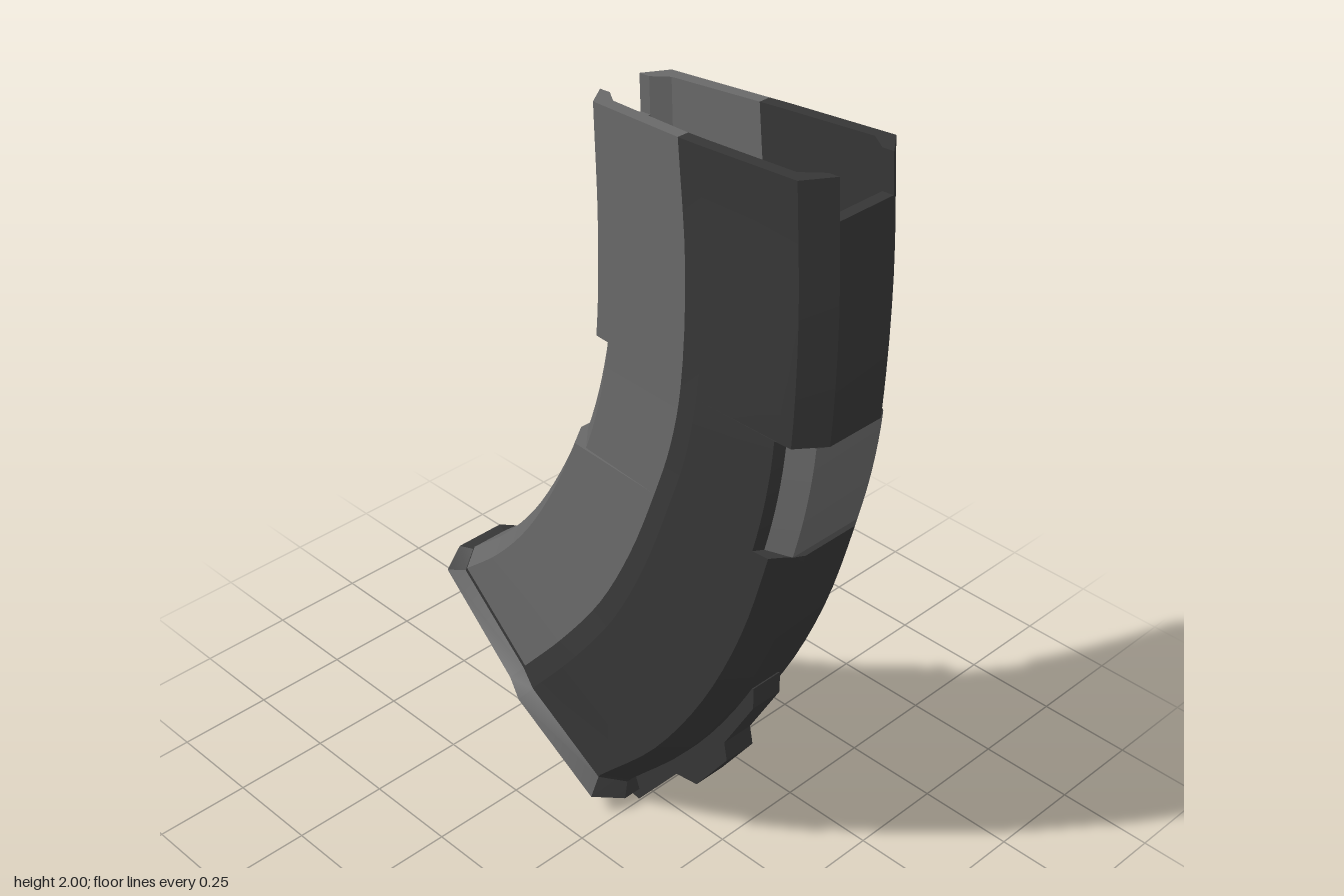
import * as THREE from 'three';
import { toCreasedNormals } from 'three/addons/utils/BufferGeometryUtils.js';

// Inner edge, colour division and outer edge of the curved body, bottom to top
const curve = (pts) => new THREE.CatmullRomCurve3(pts.map(([x, y]) => new THREE.Vector3(x, y, 0)));
const innerEdge = curve([[-.61, .49], [-.48, .60], [-.365, .73], [-.265, .89], [-.185, 1.06], [-.135, 1.22], [-.105, 1.385], [-.095, 1.66], [-.105, 1.95]]);
const division = curve([[-.34, .29], [-.185, .47], [-.045, .66], [.06, .86], [.14, 1.065], [.19, 1.22], [.22, 1.385], [.23, 1.68], [.205, 1.97]]);
const outerEdge = curve([[-.01, .08], [.20, .31], [.36, .56], [.475, .82], [.55, 1.08], [.583, 1.23], [.602, 1.385], [.608, 1.69], [.59, 2]]);

// One cross-section: seven points on the +z half, mirrored to fourteen
function ring(t, { notch = false, inset = 0, zScale = 1, shift = 0, trim = 0 } = {}) {
  const a = innerEdge.getPoint(t), m = division.getPoint(t), b = outerEdge.getPoint(t);
  const inDir = m.clone().sub(a).normalize(), outDir = b.clone().sub(m).normalize();
  const bulge = 0.015 * THREE.MathUtils.clamp((1 - t) / 0.3, 0.2, 1);
  const s = zScale * (0.94 + 0.06 * Math.min(1, t / 0.12));
  const e = inset + trim;
  const fromInner = (d, z) => a.clone().addScaledVector(inDir, d + e).setZ(z * s);
  const fromOuter = (d, z) => b.clone().addScaledVector(outDir, -d - e).setZ(z * s);
  const half = [
    notch ? fromInner(.015, .05) : fromInner(0, .058),
    notch ? fromInner(.075, .112) : fromInner(.04, .116 - inset),
    m.clone().setZ((.135 - inset) * s),
    m.clone().addScaledVector(outDir, .06).setZ((.135 + bulge - inset) * s),
    notch ? fromOuter(.095, .147) : fromOuter(.05, .145 - inset),
    notch ? fromOuter(.08, .125) : fromOuter(.025, .1125 - inset / 2),
    notch ? fromOuter(.015, .105) : fromOuter(0, .08),
  ];
  const down = new THREE.Vector3(outDir.y, -outDir.x, 0).multiplyScalar(shift);
  half.forEach((p) => p.add(down));
  return [...half, ...half.map((p) => new THREE.Vector3(p.x, p.y, -p.z)).reverse()];
}

// Collects quads and turns them into one mesh
class Surface {
  constructor() { this.pos = []; }
  tri(a, b, c) {
    const n = b.clone().sub(a).cross(c.clone().sub(a));
    if (n.length() > 1e-8) for (const p of [a, b, c]) this.pos.push(p.x, p.y, p.z);
  }
  quad(a, b, c, d) { this.tri(a, b, c); this.tri(a, c, d); }
  mesh(name, material) {
    const g = new THREE.BufferGeometry();
    g.setAttribute('position', new THREE.Float32BufferAttribute(this.pos, 3));
    const mesh = new THREE.Mesh(toCreasedNormals(g, 0.2), material);
    mesh.name = name;
    return mesh;
  }
}

export function createModel() {
  const group = new THREE.Group();
  group.name = 'curvedMagazine';
  const grey = new THREE.MeshStandardMaterial({ color: 0x686868 });
  grey.name = 'mid grey';
  const dark = new THREE.MeshStandardMaterial({ color: 0x363636 });
  dark.name = 'dark grey';

  const front = new Surface(), back = new Surface(), windowPanel = new Surface();
  const inside = { light: new Surface(), dark: new Surface() };
  const base = new Surface();
  const isLight = (i) => i < 2 || i > 10;
  const isFlat = (i) => i === 6 || i === 13;
  const next = (i) => (i + 1) % 14;
  const shell = (i) => (isLight(i) ? front : back);
  const liner = (i) => (isLight(i) ? inside.light : inside.dark);

  // Outer shell, with doubled rings where the grip notches start and end
  const lip = 0.962, rings = [];
  for (let k = 0; k <= 32; k++) {
    const t = k / 32;
    if (k === 31) rings.push({ t: lip, p: ring(lip), notch: false });
    else if (k === 16 || k === 24) {
      const pair = [false, true].map((notch) => ({ t, p: ring(t, { notch }), notch }));
      rings.push(...(k === 16 ? pair : pair.reverse()));
    } else {
      const notch = k > 16 && k < 24;
      rings.push({ t, p: ring(t, { notch }), notch });
    }
  }
  for (let k = 0; k < rings.length - 1; k++) {
    const lo = rings[k], hi = rings[k + 1];
    for (let i = 0; i < 14; i++) {
      if (lo.t >= lip && isFlat(i)) continue; // open slots at the mouth
      const panel = lo.notch && hi.notch && i >= 5 && i <= 7;
      (panel ? windowPanel : shell(i)).quad(lo.p[i], lo.p[next(i)], hi.p[next(i)], hi.p[i]);
    }
  }

  // Hollow mouth: inner walls, floor, rim and slots
  const wall = 0.03;
  const inner = [0.82, 0.87, 0.92, lip, 1].map((t) => ring(t, { inset: wall }));
  for (let k = 0; k < 4; k++) for (let i = 0; i < 14; i++) {
    if (k === 3 && isFlat(i)) continue;
    liner(i).quad(inner[k][next(i)], inner[k][i], inner[k + 1][i], inner[k + 1][next(i)]);
  }
  for (let k = 0; k < 6; k++) liner(k).quad(inner[0][k], inner[0][k + 1], inner[0][12 - k], inner[0][13 - k]);
  const outTop = ring(1), outLip = ring(lip), inTop = inner[4], inLip = inner[3];
  for (let i = 0; i < 14; i++) {
    const [o, n] = isFlat(i) ? [outLip, inLip] : [outTop, inTop];
    shell(i).quad(o[i], o[next(i)], n[next(i)], n[i]);
  }
  for (const i of [6, 13]) shell(i).quad(outLip[i], inLip[i], inTop[i], outTop[i]);
  for (const i of [7, 0]) shell(i === 7 ? 7 : 13).quad(outTop[i], inTop[i], inLip[i], outLip[i]);

  // Floor plate with a bevelled edge
  const top = ring(0), mid = ring(0, { shift: -0.012 }), low = ring(0, { shift: -0.035, zScale: 0.72, trim: 0.03 });
  // keep the plate below the body whatever the edge direction
  if (low[2].y > top[2].y) [mid, low].forEach((r) => r.forEach((p, i) => p.lerp(top[i], 2)));
  for (const [lo, hi] of [[mid, top], [low, mid]])
    for (let i = 0; i < 14; i++) base.quad(lo[i], lo[next(i)], hi[next(i)], hi[i]);
  for (let k = 0; k < 6; k++) base.quad(low[13 - k], low[12 - k], low[k + 1], low[k]);

  group.add(
    front.mesh('innerShell', grey), back.mesh('outerShell', dark), windowPanel.mesh('notchPanel', grey),
    inside.light.mesh('mouthLiningInner', grey), inside.dark.mesh('mouthLiningOuter', dark),
    base.mesh('floorPlate', dark),
  );

  // Pull loop, keel and stepped spine cut from one plate
  const v = (list) => list.map(([x, y]) => new THREE.Vector2(x, y));
  const strap = new THREE.Shape(v([[-.58, .45], [-.61, .38], [-.60, .26], [-.38, .18], [-.31, .18], [-.28, .205],
    [-.04, .005], [-.005, 0], [.13, .17], [.20, .18], [.30, .32], [.29, .37], [.38, .53], [.38, .59],
    [.33, .56], [.15, .32], [0, .15], [-.30, .31]]));
  strap.holes.push(new THREE.Path(v([[-.53, .39], [-.55, .37], [-.555, .27], [-.38, .21], [-.34, .22], [-.31, .25], [-.34, .275]])));
  const strapGeo = new THREE.ExtrudeGeometry(strap, { depth: 0.09, bevelEnabled: false });
  strapGeo.translate(0, 0, -0.045);
  const strapMesh = new THREE.Mesh(strapGeo, dark);
  strapMesh.name = 'pullLoopAndSpine';
  group.add(strapMesh);
  return group;
}
